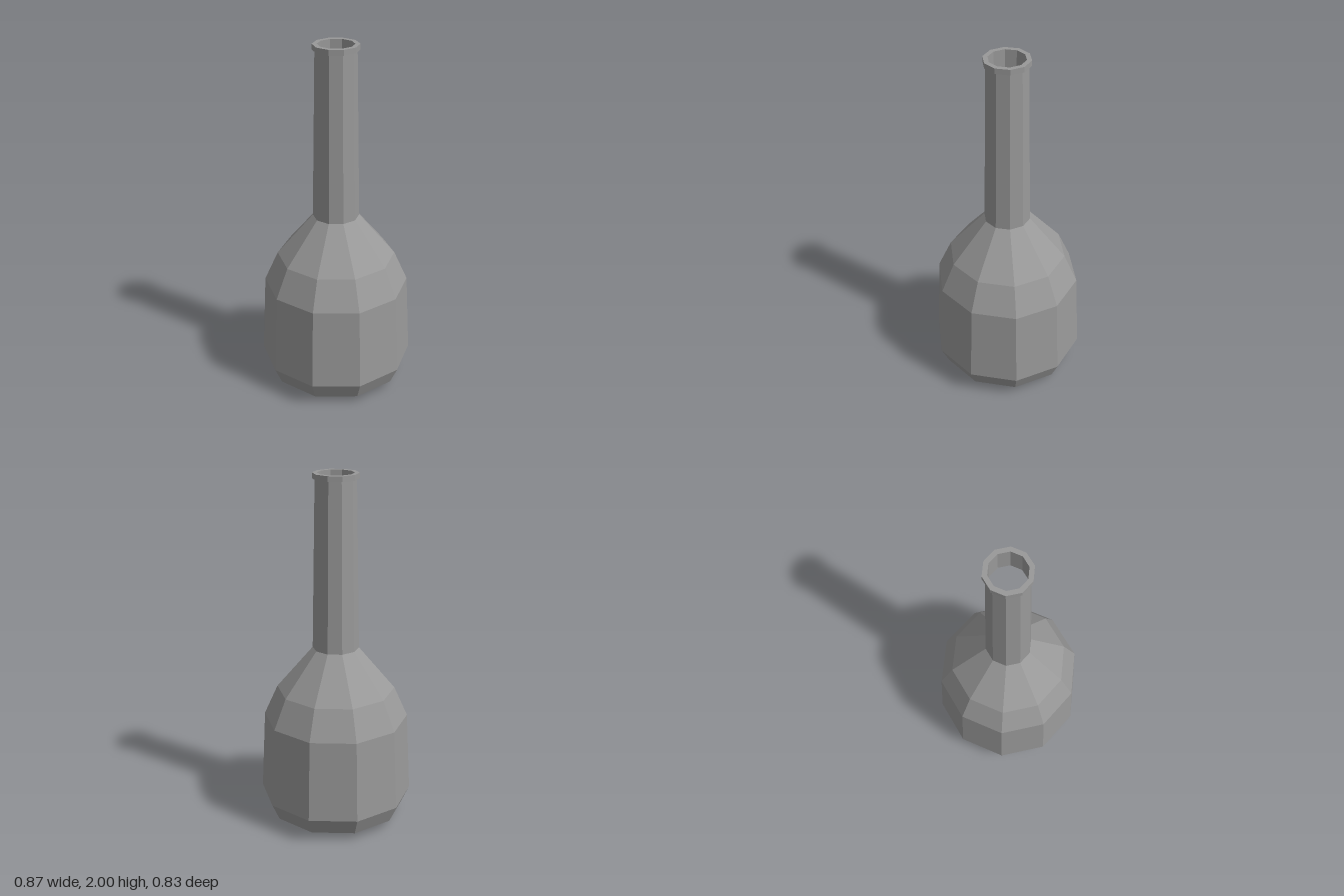
import * as THREE from 'three';

const SIDES = 10;

export function createModel() {
  const group = new THREE.Group();
  group.name = 'bottle';
  const glass = new THREE.MeshStandardMaterial({ color: 0x999999, flatShading: true });
  const pink = new THREE.MeshStandardMaterial({ color: 0xd99ac6, flatShading: true });

  const add = (name, geometry, material) => {
    const mesh = new THREE.Mesh(geometry, material);
    mesh.name = name;
    group.add(mesh);
    return mesh;
  };

  // Turns a profile of [radius, height] pairs into a ten-sided part, corners on the x axis
  const turned = (name, profile) => {
    const points = profile.map(([r, y]) => new THREE.Vector2(r, y));
    add(name, new THREE.LatheGeometry(points, SIDES, Math.PI / 2, Math.PI * 2), glass);
  };

  // Closed base, bulging body and sloping shoulder
  turned('body', [[0, 0], [0.28, 0], [0.39, 0.05], [0.435, 0.15], [0.41, 0.615], [0.334, 0.785], [0.13, 1.025]]);

  // Long, slightly tapered neck
  turned('neck', [[0.13, 1.025], [0.112, 1.97]]);

  // Collar around the mouth, with the inner wall running down into the neck
  turned('rim', [[0.112, 1.97], [0.126, 1.97], [0.126, 2], [0.1, 2], [0.1, 1.85]]);

  // Coloured floor seen through the open mouth
  const floor = add('innerFloor', new THREE.CircleGeometry(0.28, SIDES), pink);
  floor.rotation.x = -Math.PI / 2;
  floor.position.y = 0.005;

  return group;
}
